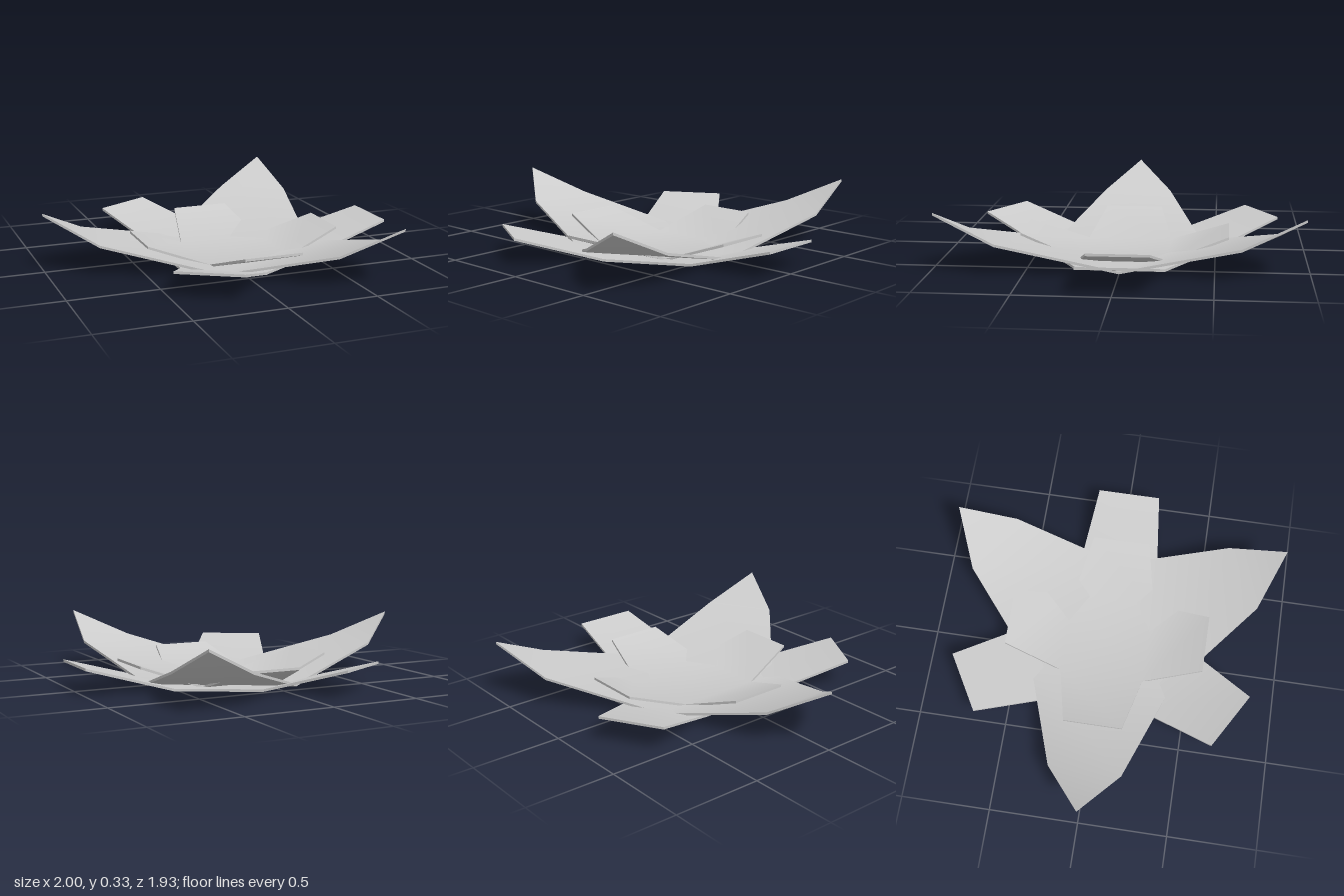
import * as THREE from 'three';
import { toCreasedNormals } from 'three/addons/utils/BufferGeometryUtils.js';

const CENTER_X = 0.113;
const THICK = 0.014;

// One sheet: a flat regular base with folded petals on its sides.
// profile rows: [distance from centre, half width, top height]
function petalLayer(name, { sides, inradius, start, every, lift, profile }) {
  const step = (Math.PI * 2) / sides;
  const half = inradius * Math.tan(step / 2);
  const baseY = THICK + lift;
  const point = (angle, u, v, y) => new THREE.Vector3(
    CENTER_X + u * Math.cos(angle) - v * Math.sin(angle), y,
    u * Math.sin(angle) + v * Math.cos(angle));
  const tris = [];
  const centre = new THREE.Vector3(CENTER_X, baseY, 0);

  for (let i = 0; i < sides; i++) {
    const angle = start + i * step;
    // wedge of the flat base
    tris.push([centre, point(angle, inradius, -half, baseY), point(angle, inradius, half, baseY)]);
    if (i % every) continue;
    // petal folded up from this side
    const rows = [[inradius, half, baseY], ...profile];
    for (let k = 0; k + 1 < rows.length; k++) {
      const [u0, w0, y0] = rows[k];
      const [u1, w1, y1] = rows[k + 1];
      const a = point(angle, u0, -w0, y0), b = point(angle, u1, -w1, y1);
      const c = point(angle, u1, w1, y1), d = point(angle, u0, w0, y0);
      tris.push([a, b, d]);
      if (w1 > 0) tris.push([b, c, d]);
    }
  }

  const positions = [];
  const add = (...pts) => pts.forEach((p) => positions.push(p.x, p.y, p.z));
  const under = (p) => new THREE.Vector3(p.x, p.y - THICK, p.z);
  const key = (p) => [p.x, p.y, p.z].map((n) => Math.round(n * 1000)).join();
  const edges = new Map();
  for (const t of tris) {
    add(t[2], t[1], t[0]);
    add(...t.map(under));
    t.forEach((p, i) => {
      const q = t[(i + 1) % 3];
      edges.set(key(p) + '|' + key(q), [p, q]);
    });
  }
  // rim walls on edges that have no neighbour
  for (const [p, q] of edges.values()) {
    if (edges.has(key(q) + '|' + key(p))) continue;
    add(p, q, under(q), p, under(q), under(p));
  }

  const geo = new THREE.BufferGeometry();
  geo.setAttribute('position', new THREE.Float32BufferAttribute(positions, 3));
  const mesh = new THREE.Mesh(toCreasedNormals(geo, 0.8),
    new THREE.MeshStandardMaterial({ color: 0xcccccc }));
  mesh.name = name;
  return mesh;
}

export function createModel() {
  const group = new THREE.Group();
  group.name = 'flower';
  group.add(
    // three blunt petals on alternate sides of a hexagon
    petalLayer('bluntPetals', {
      sides: 6, inradius: 0.412, start: 0, every: 2, lift: 0,
      profile: [[0.885, 0.182, 0.15]],
    }),
    // three long pointed petals on a triangle
    petalLayer('pointedPetals', {
      sides: 3, inradius: 0.24, start: Math.PI / 3, every: 1, lift: 0.001,
      profile: [[0.853, 0.205, 0.18], [1.113, 0, 0.33]],
    }),
    // four short inner petals on a square
    petalLayer('innerPetals', {
      sides: 4, inradius: 0.241, start: 0, every: 1, lift: 0.002,
      profile: [[0.575, 0.167, 0.135]],
    }),
  );
  return group;
}
